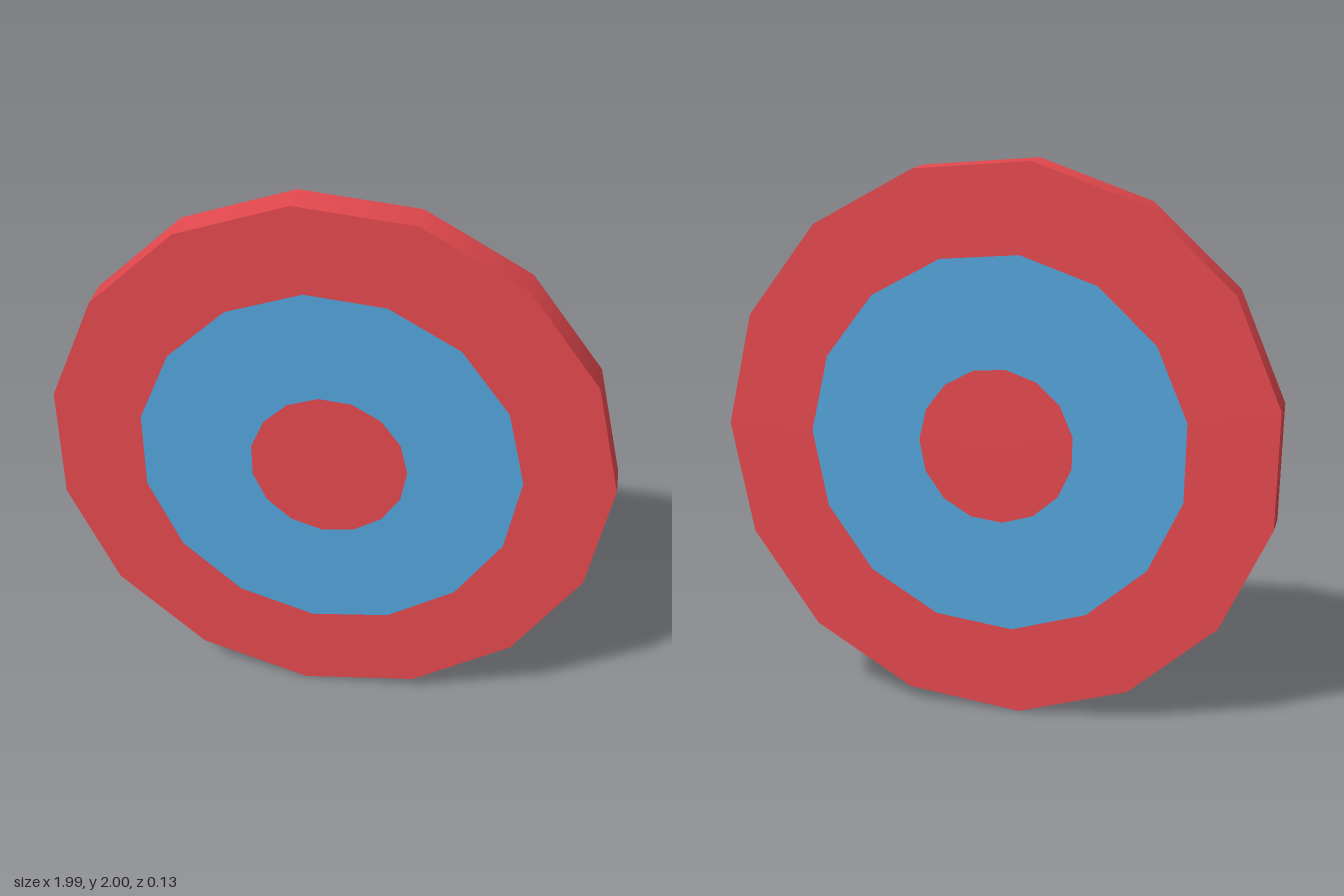
import * as THREE from 'three';

const SIDES = 15;
const START = THREE.MathUtils.degToRad(1); // slight turn of the polygon
const R_OUTER = 1.0057, R_MIDDLE = 0.686, R_CENTRE = 0.281;
const HALF = 0.063; // half the thickness

export function createModel() {
  const red = new THREE.MeshStandardMaterial({ color: 0xe3484e });
  red.name = 'red';
  const blue = new THREE.MeshStandardMaterial({ color: 0x54a3da });
  blue.name = 'blue';

  const target = new THREE.Group();
  target.name = 'target';
  target.position.set(-0.0092, 1.0019, 0);

  const add = (parent, name, geometry, material) => {
    const mesh = new THREE.Mesh(geometry, material);
    mesh.name = name;
    parent.add(mesh);
  };

  // Smooth-shaded rim around the board
  const rim = new THREE.CylinderGeometry(R_OUTER, R_OUTER, HALF * 2, SIDES, 1, true, START + Math.PI / 2);
  add(target, 'rim', rim.rotateX(Math.PI / 2), red);

  // Front and back faces, each made of two rings and a bullseye
  for (const side of ['front', 'back']) {
    const back = side === 'back';
    const start = back ? Math.PI - START : START;
    const face = new THREE.Group();
    face.name = side + 'Face';
    add(face, 'outerRing', new THREE.RingGeometry(R_MIDDLE, R_OUTER, SIDES, 1, start), red);
    add(face, 'middleRing', new THREE.RingGeometry(R_CENTRE, R_MIDDLE, SIDES, 1, start), blue);
    add(face, 'bullseye', new THREE.CircleGeometry(R_CENTRE, SIDES, start), red);
    face.position.z = back ? -HALF : HALF;
    if (back) face.rotation.y = Math.PI;
    target.add(face);
  }

  const model = new THREE.Group();
  model.name = 'roundTarget';
  model.add(target);
  return model;
}
